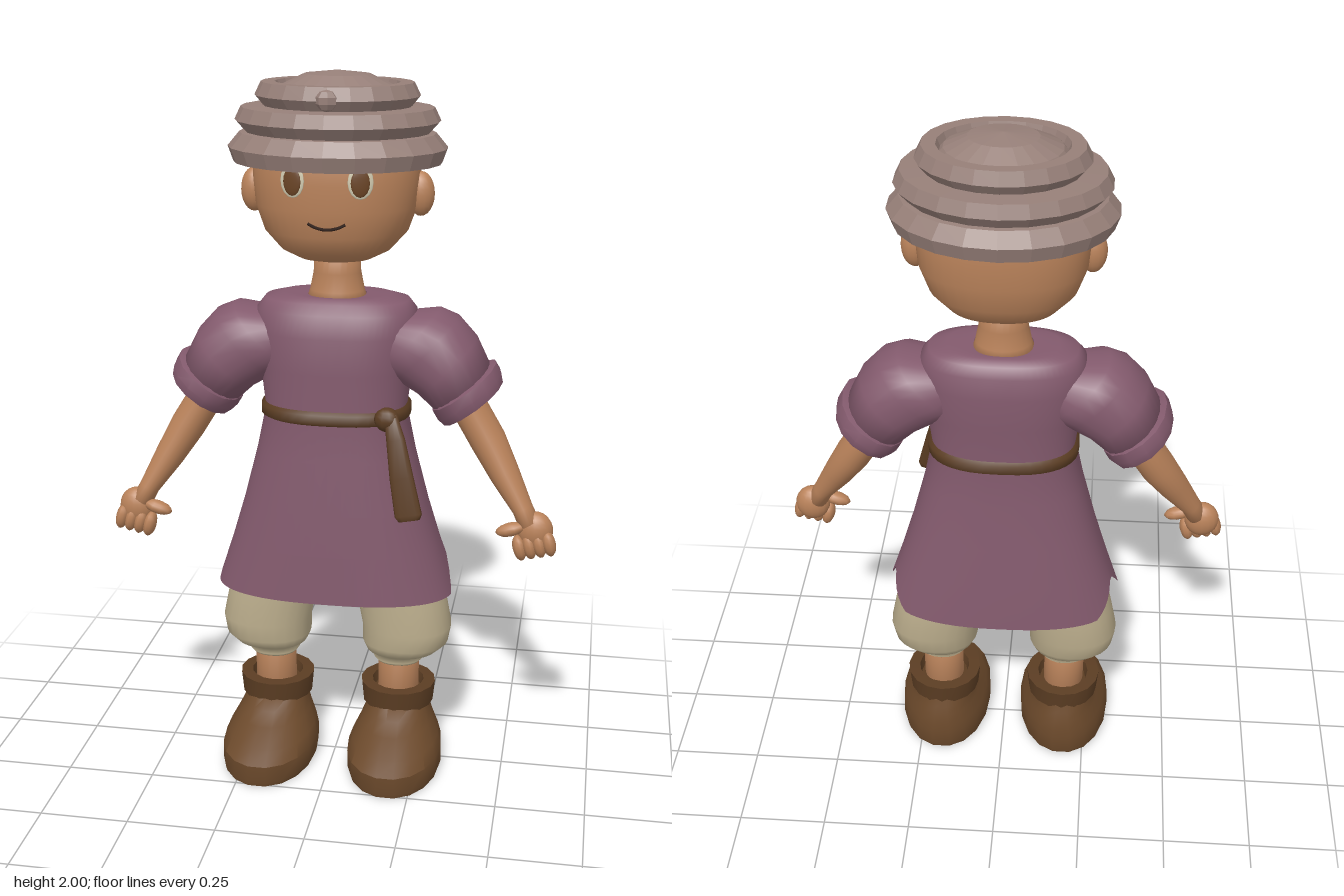
import * as THREE from 'three';
import { toCreasedNormals } from 'three/addons/utils/BufferGeometryUtils.js';

const UP = [0, 1, 0];

// Loft of rounded cross-sections [x, y, z, halfWidth, halfDepth] facing along dir; p squares them off.
function loft(sections, { n = 24, p = 2, dir = UP, bottom = true, top = true } = {}) {
  const t = new THREE.Vector3(...dir).normalize();
  const u = new THREE.Vector3().crossVectors(t, new THREE.Vector3(0, 0, 1)).normalize();
  const v = new THREE.Vector3().crossVectors(u, t);
  const pos = [], idx = [];
  const pw = (c) => Math.sign(c) * Math.abs(c) ** (2 / p);
  for (const [x, y, z, a, b] of sections) {
    for (let j = 0; j < n; j++) {
      const g = (j / n) * Math.PI * 2, cu = a * pw(Math.cos(g)), cv = b * pw(Math.sin(g));
      pos.push(x + u.x * cu + v.x * cv, y + u.y * cu + v.y * cv, z + u.z * cu + v.z * cv);
    }
  }
  const last = sections.length - 1;
  for (let i = 0; i < last; i++) {
    for (let j = 0; j < n; j++) {
      const a = i * n + j, b = i * n + (j + 1) % n;
      idx.push(a, a + n, b, b, a + n, b + n);
    }
  }
  const cap = (i, flip) => {
    const c = pos.length / 3;
    pos.push(...sections[i].slice(0, 3));
    for (let j = 0; j < n; j++) {
      const a = i * n + j, b = i * n + (j + 1) % n;
      idx.push(c, flip ? b : a, flip ? a : b);
    }
  };
  if (bottom) cap(0, false);
  if (top) cap(last, true);
  const geo = new THREE.BufferGeometry();
  geo.setAttribute('position', new THREE.Float32BufferAttribute(pos, 3));
  geo.setIndex(idx);
  geo.computeVertexNormals();
  return geo;
}

export function createModel() {
  const mat = (name, color, extra = {}) => new THREE.MeshStandardMaterial({ name, color, ...extra });
  const skin = mat('skin', 0xb9825a);
  const cloth = mat('plum cloth', 0x835a6d, { side: THREE.DoubleSide });
  const linen = mat('linen', 0xbcae8d);
  const wool = mat('grey wool', 0x967f78, { flatShading: true, side: THREE.DoubleSide });
  const leather = mat('boot leather', 0x6b492b);
  const darkLeather = mat('dark leather', 0x5b3d23);
  const eyeWhite = mat('eye white', 0xd2cbb0);
  const iris = mat('iris brown', 0x6a4425);
  const ink = mat('mouth dark', 0x2c1a12);

  const model = new THREE.Group();
  model.name = 'figure';
  const add = (name, geo, material) => {
    const m = new THREE.Mesh(geo, material);
    m.name = name;
    model.add(m);
    return m;
  };
  const ball = (name, material, center, radii, w = 16, h = 12) => {
    const m = add(name, new THREE.SphereGeometry(1, w, h), material);
    m.position.set(...center);
    m.scale.set(...radii);
    return m;
  };

  // Head and neck
  add('head', loft([
    [0, 1.495, -0.02, 0.05, 0.045], [0, 1.505, -0.02, 0.1, 0.085], [0, 1.53, -0.025, 0.15, 0.13],
    [0, 1.58, -0.028, 0.195, 0.16], [0, 1.65, -0.03, 0.22, 0.172], [0, 1.72, -0.03, 0.226, 0.175],
    [0, 1.8, -0.03, 0.225, 0.172], [0, 1.88, -0.03, 0.19, 0.145]], { n: 40, p: 2.3 }), skin);
  add('neck', loft([[0, 1.37, -0.035, 0.09, 0.075], [0, 1.41, -0.035, 0.076, 0.064],
    [0, 1.46, -0.035, 0.066, 0.058], [0, 1.53, -0.035, 0.062, 0.058]]), skin);

  // Face: thin plates following the front of the head
  const faceZ = (x, rx, rz) => -0.03 + rz * (1 - Math.abs(x / rx) ** 2.3) ** (1 / 2.3);
  for (const s of [1, -1]) {
    ball('ear', skin, [s * 0.228, 1.68, -0.028], [0.037, 0.06, 0.034]);
    const z = faceZ(0.09, 0.226, 0.175);
    const plate = (name, material, rx, ry, off, y) => {
      const m = ball(name, material, [s * 0.09, y, z + off], [rx, ry, 0.005], 20, 8);
      m.rotation.y = s * 0.25;
    };
    plate('eyeWhite', eyeWhite, 0.034, 0.045, 0.002, 1.732);
    plate('iris', iris, 0.025, 0.037, 0.006, 1.73);
  }
  const smile = [-0.05, -0.03, 0, 0.03, 0.05].map((x) =>
    new THREE.Vector3(x, 1.605 + 6 * x * x, faceZ(x, 0.205, 0.166)));
  add('mouth', new THREE.TubeGeometry(new THREE.CatmullRomCurve3(smile), 16, 0.0045, 6), ink);

  // Wound hat with three rolls, a sunken crown and a small knot in front
  const hat = add('hat', new THREE.LatheGeometry([
    [0.19, 1.77], [0.283, 1.76], [0.297, 1.8], [0.265, 1.838], [0.25, 1.84], [0.277, 1.87],
    [0.26, 1.905], [0.2, 1.908], [0.222, 1.935], [0.205, 1.97], [0.168, 1.97], [0.16, 1.95],
    [0.15, 1.962], [0.09, 1.99], [0, 2]].map(([x, y]) => new THREE.Vector2(x, y)), 22), wool);
  hat.scale.z = 0.78;
  hat.position.z = -0.034;
  ball('hatKnot', wool, [0, 1.937, 0.132], [0.03, 0.028, 0.02], 7, 5);

  // Tunic body, with a notch cut into the hem at each side
  const n = 64;
  const tunic = loft([
    [0, 0.54, -0.03, 0.345, 0.185], [0, 0.68, -0.028, 0.3, 0.174], [0, 0.8, -0.024, 0.264, 0.162],
    [0, 0.95, -0.022, 0.225, 0.148], [0, 1.08, -0.022, 0.198, 0.138], [0, 1.2, -0.024, 0.212, 0.144],
    [0, 1.3, -0.028, 0.225, 0.14], [0, 1.36, -0.032, 0.222, 0.127], [0, 1.388, -0.034, 0.2, 0.108],
    [0, 1.4, -0.035, 0.15, 0.085], [0, 1.398, -0.035, 0.08, 0.068]],
  { n, p: 2.5, bottom: false, top: false });
  const tp = tunic.attributes.position;
  for (let j = 0; j < n; j++) {
    const x = tp.getX(j), z = tp.getZ(j);
    if (Math.abs(x) < 0.2) continue;
    const lift = Math.max(0, 1 - Math.abs(z + 0.07) / 0.09);
    tp.setY(j, 0.54 + 0.1 * lift);
    tp.setX(j, x - Math.sign(x) * 0.03 * lift);
  }
  tunic.computeVertexNormals();
  add('tunic', tunic, cloth);

  // Belt, knot and hanging end
  add('belt', loft([[0, 1.055, -0.022, 0.195, 0.136], [0, 1.064, -0.022, 0.21, 0.15],
    [0, 1.09, -0.022, 0.21, 0.15], [0, 1.1, -0.022, 0.195, 0.136]],
  { n: 40, p: 2.5, bottom: false, top: false }), darkLeather);
  ball('beltKnot', darkLeather, [0.162, 1.085, 0.112], [0.036, 0.034, 0.03], 10, 8);
  add('beltEnd', loft([[0.172, 1.1, 0.118, 0.018, 0.012], [0.19, 1.04, 0.142, 0.026, 0.012],
    [0.21, 0.94, 0.163, 0.033, 0.01], [0.232, 0.835, 0.176, 0.038, 0.008],
    [0.235, 0.82, 0.177, 0.03, 0.006]], { n: 12, p: 2.6, dir: [0.2, -1, 0.1] }), darkLeather);

  // Hidden top of the trousers
  add('trouserSeat', loft([[0, 0.64, -0.035, 0.1, 0.08], [0, 0.7, -0.035, 0.2, 0.12],
    [0, 0.85, -0.03, 0.19, 0.12], [0, 0.98, -0.025, 0.17, 0.11]]), linen);

  for (const s of [1, -1]) {
    const side = (rows) => rows.map(([x, ...r]) => [s * x, ...r]);

    // Sleeve and turned-up cuff
    const down = [s * 0.6, -0.8, 0];
    add('sleeve', loft(side([
      [0.13, 1.3, -0.03, 0.075, 0.09], [0.2, 1.28, -0.03, 0.122, 0.122], [0.25, 1.258, -0.028, 0.124, 0.13],
      [0.31, 1.21, -0.025, 0.112, 0.13], [0.362, 1.14, -0.022, 0.095, 0.125]]),
    { n: 24, p: 2.2, dir: [s * 0.7, -0.7, 0], bottom: false }), cloth);
    add('cuff', toCreasedNormals(loft(side([
      [0.35, 1.16, -0.022, 0.092, 0.12], [0.357, 1.155, -0.022, 0.108, 0.136], [0.372, 1.13, -0.022, 0.108, 0.14],
      [0.384, 1.108, -0.022, 0.1, 0.13], [0.378, 1.118, -0.022, 0.078, 0.1]]),
    { n: 14, p: 2.2, dir: down, bottom: false }), 0.7), cloth);

    // Bare arm
    add('arm', loft(side([
      [0.33, 1.18, -0.028, 0.05, 0.058], [0.375, 1.09, -0.022, 0.05, 0.06], [0.43, 1.0, -0.012, 0.05, 0.06],
      [0.48, 0.915, 0.015, 0.042, 0.05], [0.535, 0.825, 0.045, 0.029, 0.036], [0.555, 0.785, 0.055, 0.03, 0.036]]),
    { dir: [s * 0.52, -0.85, 0.15] }), skin);

    // Loosely closed hand
    ball('palm', skin, [s * 0.572, 0.767, 0.055], [0.05, 0.055, 0.036]);
    for (let i = 0; i < 4; i++) {
      const f = ball('finger', skin, [s * (0.612 - 0.027 * i), 0.737 - 0.006 * i, 0.07], [0.019, 0.038, 0.028], 10, 8);
      f.rotation.z = s * 0.25;
    }
    const thumb = ball('thumb', skin, [s * 0.505, 0.772, 0.072], [0.043, 0.019, 0.022], 10, 8);
    thumb.rotation.z = s * 0.3;

    // Baggy trouser leg with a gathered end
    add('trouserLeg', loft(side([
      [0.186, 0.308, -0.03, 0.066, 0.068], [0.186, 0.318, -0.03, 0.074, 0.078], [0.187, 0.33, -0.03, 0.066, 0.07],
      [0.195, 0.345, -0.03, 0.105, 0.098], [0.204, 0.37, -0.032, 0.125, 0.113], [0.208, 0.42, -0.035, 0.13, 0.118],
      [0.192, 0.5, -0.037, 0.13, 0.12], [0.175, 0.58, -0.037, 0.128, 0.118], [0.15, 0.7, -0.035, 0.115, 0.112],
      [0.12, 0.85, -0.03, 0.1, 0.1]]), { p: 2.2 }), linen);
    add('shin', loft(side([[0.184, 0.18, -0.035, 0.06, 0.062], [0.186, 0.33, -0.032, 0.06, 0.062]])), skin);

    // Boot and its folded top
    const foot = [[0, 0.133, 0.26, -0.172], [0.012, 0.137, 0.263, -0.176], [0.062, 0.137, 0.262, -0.175],
      [0.09, 0.126, 0.215, -0.172], [0.125, 0.106, 0.145, -0.165], [0.15, 0.094, 0.09, -0.155],
      [0.18, 0.088, 0.055, -0.145]];
    add('boot', toCreasedNormals(loft(
      foot.map(([y, w, f, b]) => [s * (0.187 - y * 0.02), y, (f + b) / 2, w, (f - b) / 2]),
      { n: 18, p: 2.1 }), 0.75), leather);
    add('bootTop', toCreasedNormals(loft(side([
      [0.183, 0.165, -0.043, 0.088, 0.088], [0.183, 0.166, -0.043, 0.104, 0.104], [0.183, 0.228, -0.043, 0.11, 0.11],
      [0.183, 0.23, -0.043, 0.076, 0.078], [0.183, 0.2, -0.043, 0.07, 0.072]]),
    { n: 16 }), 0.7), darkLeather);
  }
  return model;
}
